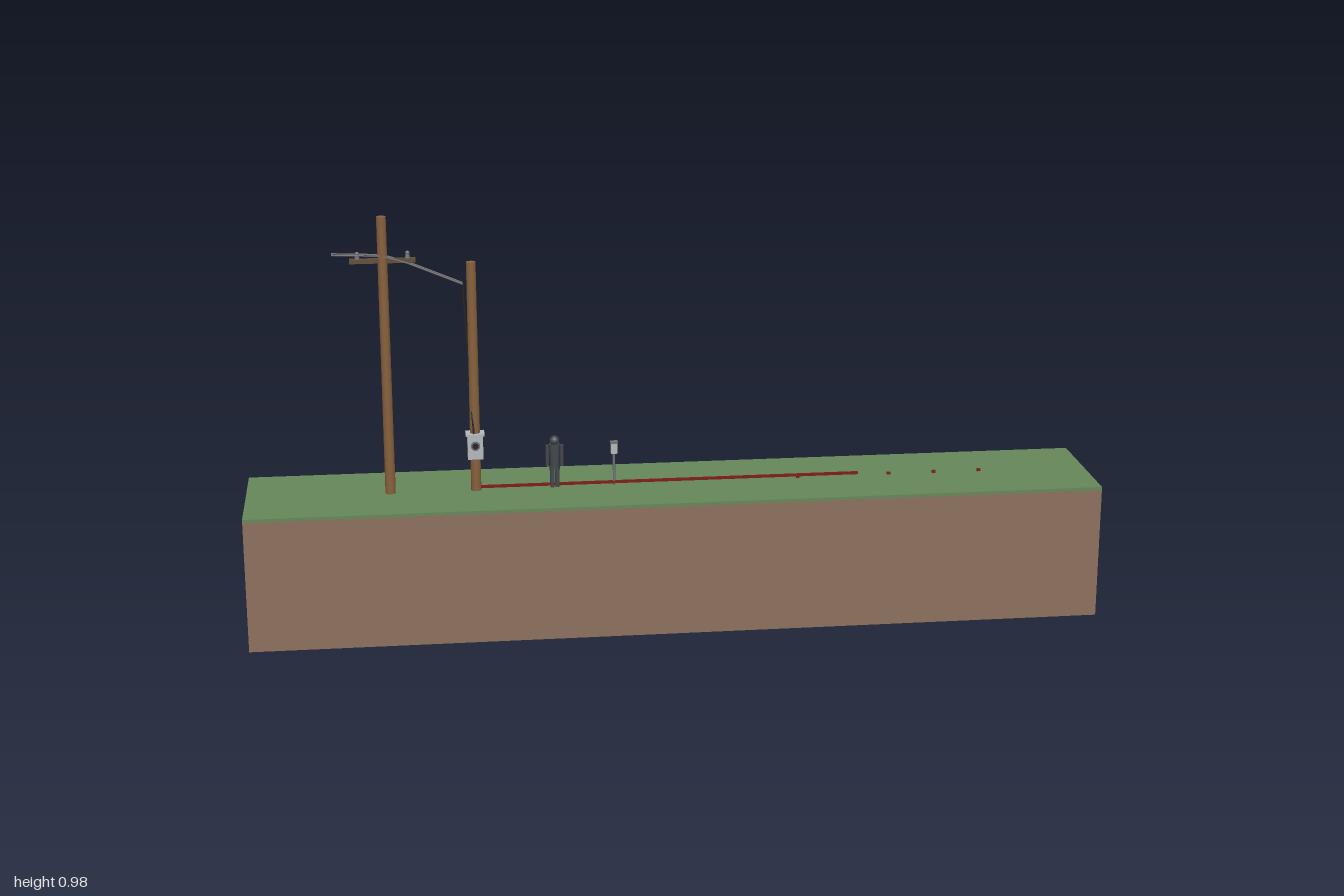
import * as THREE from 'three';

const mat = (name, color) => {
  const m = new THREE.MeshStandardMaterial({ color });
  m.name = name;
  return m;
};

export function createModel() {
  const root = new THREE.Group();
  root.name = 'powerLineDiorama';
  const soil = mat('soil', 0x8b705d), grass = mat('grass', 0x66875a), wood = mat('wood', 0x87603c);
  const arm = mat('armWood', 0x5f4c3a), grey = mat('lightGrey', 0xb4b8ba), dark = mat('darkClothes', 0x44484c);
  const black = mat('black', 0x222222), wireGrey = mat('wireGrey', 0x777777), red = mat('red', 0x7d1a14);
  const steel = mat('steel', 0x6d7276);
  const G = 0.322; // ground level

  const add = (name, geo, m, x, y, z, parent = root) => {
    const mesh = new THREE.Mesh(geo, m);
    mesh.name = name;
    mesh.position.set(x, y, z);
    parent.add(mesh);
    return mesh;
  };
  const box = (name, w, h, d, m, x, y, z, p) => add(name, new THREE.BoxGeometry(w, h, d), m, x, y, z, p);
  const cyl = (name, rt, rb, h, m, x, y, z, p) => add(name, new THREE.CylinderGeometry(rt, rb, h, 16), m, x, y, z, p);
  const wire = (name, pts, r, m) => {
    const path = new THREE.CurvePath();
    const v = pts.map(p => new THREE.Vector3(...p));
    for (let i = 1; i < v.length; i++) path.add(new THREE.LineCurve3(v[i - 1], v[i]));
    return add(name, new THREE.TubeGeometry(path, 48, r, 6), m, 0, 0, 0);
  };

  // Ground block with a thin turf layer
  box('soilBlock', 2, 0.314, 0.31, soil, 0, 0.157, 0);
  box('grassLayer', 2, 0.008, 0.31, grass, 0, 0.318, 0);

  // Two timber poles
  cyl('mainPole', 0.011, 0.012, 0.98 - G, wood, -0.665, (0.98 + G) / 2, 0);
  cyl('servicePole', 0.011, 0.012, 0.87 - G, wood, -0.465, (0.87 + G) / 2, 0);

  // Crossarm with insulators
  box('crossarm', 0.15, 0.01, 0.014, arm, -0.665, 0.878, 0);
  for (const x of [-0.722, -0.608]) {
    cyl('insulator', 0.004, 0.006, 0.014, steel, x, 0.889, 0);
    add('insulatorCap', new THREE.SphereGeometry(0.005, 10, 8), steel, x, 0.895, 0);
  }

  // Overhead wires and the drop to the meter
  for (const z of [-0.008, 0.008]) {
    wire('overheadWire', [[-0.78, 0.895, z], [-0.665, 0.89, z], [-0.61, 0.873, z], [-0.485, 0.82, z]], 0.0018, wireGrey);
  }
  wire('dropWire', [[-0.485, 0.82, 0], [-0.482, 0.75, 0], [-0.475, 0.6, 0], [-0.468, 0.46, 0.012]], 0.0025, black);

  // Meter box around the service pole
  const meter = new THREE.Group();
  meter.name = 'meterBox';
  root.add(meter);
  box('meterCase', 0.036, 0.058, 0.032, grey, -0.465, 0.43, 0, meter);
  box('meterLid', 0.044, 0.005, 0.038, grey, -0.465, 0.46, 0, meter);
  cyl('meterRim', 0.011, 0.011, 0.004, steel, -0.465, 0.434, 0.017, meter).rotation.x = Math.PI / 2;
  cyl('meterDial', 0.007, 0.008, 0.004, black, -0.465, 0.434, 0.019, meter).rotation.x = Math.PI / 2;

  // Standing figure
  const person = new THREE.Group();
  person.name = 'person';
  person.position.set(-0.28, G, 0);
  root.add(person);
  cyl('torso', 0.013, 0.011, 0.058, dark, 0, 0.077, 0, person);
  add('head', new THREE.SphereGeometry(0.0115, 16, 12), dark, 0, 0.114, 0, person);
  for (const s of [-1, 1]) {
    cyl('leg', 0.006, 0.005, 0.052, dark, s * 0.006, 0.026, 0, person);
    cyl('arm', 0.004, 0.004, 0.052, dark, s * 0.017, 0.078, 0, person);
  }

  // Marker post with a small box on top
  cyl('markerPost', 0.003, 0.003, 0.085, steel, -0.14, G + 0.042, 0);
  box('markerBox', 0.015, 0.026, 0.013, grey, -0.14, 0.413, 0);
  box('markerLid', 0.018, 0.004, 0.016, steel, -0.14, 0.427, 0);

  // Line along the ground, then separate marks beyond its end
  box('groundLine', 0.91, 0.006, 0.006, red, -0.01, 0.329, 0);
  for (const x of [0.3, 0.52, 0.63, 0.74]) box('groundMark', 0.008, 0.006, 0.006, red, x, G + 0.003, 0);

  return root;
}
